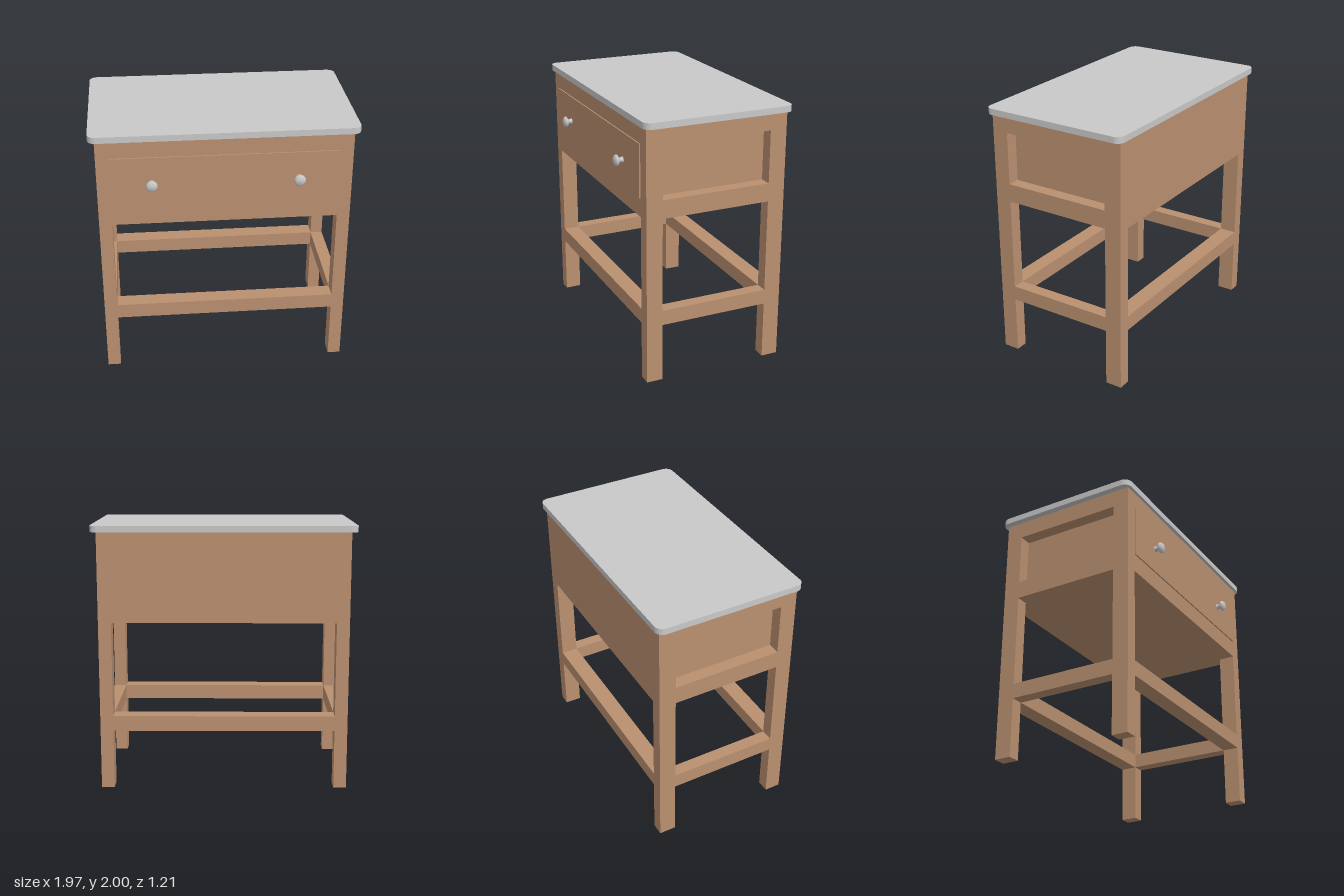
import * as THREE from 'three';

export function createModel() {
  const model = new THREE.Group();
  model.name = 'sideTable';
  const wood = new THREE.MeshStandardMaterial({ color: 0xba9070 });
  wood.name = 'wood';
  const stone = new THREE.MeshStandardMaterial({ color: 0xc9c9c9 });
  stone.name = 'light grey';

  // Box given by its extents on each axis
  function box(name, [x0, x1], [y0, y1], [z0, z1]) {
    const mesh = new THREE.Mesh(new THREE.BoxGeometry(x1 - x0, y1 - y0, z1 - z0), wood);
    mesh.position.set((x0 + x1) / 2, (y0 + y1) / 2, (z0 + z1) / 2);
    mesh.name = name;
    model.add(mesh);
  }

  const inner = 0.838, outer = 0.935;
  const frontZ = [0.4, 0.525], backZ = [-0.575, -0.445], sideZ = [-0.445, 0.4];
  const across = [-inner, inner], stretcherY = [0.45, 0.565];

  // Cabinet body between the legs, with the drawer front standing slightly proud
  box('cabinetBody', across, [1.28, 1.955], [-0.575, 0.525]);
  box('drawerFront', [-0.835, 0.835], [1.42, 1.82], [0.525, 0.535]);

  // Front and back stretchers
  box('frontStretcher', across, stretcherY, frontZ);
  box('backStretcher', across, stretcherY, backZ);

  // Legs, side rails framing the recessed panels, and side stretchers
  for (const [side, x] of [['left', [inner, outer]], ['right', [-outer, -inner]]]) {
    box(side + 'FrontLeg', x, [0, 1.955], frontZ);
    box(side + 'BackLeg', x, [0, 1.955], backZ);
    box(side + 'LowerRail', x, [1.28, 1.42], sideZ);
    box(side + 'UpperRail', x, [1.82, 1.955], sideZ);
    box(side + 'Stretcher', x, stretcherY, sideZ);
  }

  // Table top: rounded rectangle, extruded and laid flat
  const w = 0.983, back = 0.605, front = -0.55, r = 0.06;
  const outline = new THREE.Shape();
  outline.absarc(w - r, back - r, r, 0, Math.PI / 2);
  outline.absarc(-w + r, back - r, r, Math.PI / 2, Math.PI);
  outline.absarc(-w + r, front + r, r, Math.PI, Math.PI * 1.5);
  outline.absarc(w - r, front + r, r, Math.PI * 1.5, Math.PI * 2);
  const top = new THREE.Mesh(
    new THREE.ExtrudeGeometry(outline, { depth: 0.047, bevelEnabled: false, curveSegments: 8 }), stone);
  top.rotation.x = -Math.PI / 2;
  top.position.y = 1.953;
  top.name = 'tableTop';
  model.add(top);

  // Drawer knobs, turned around the z axis
  const profile = [[0.024, 0], [0.019, 0.008], [0.017, 0.026], [0.024, 0.03], [0.042, 0.043],
    [0.042, 0.053], [0.03, 0.066], [0, 0.07]].map(([x, y]) => new THREE.Vector2(x, y));
  const knobGeometry = new THREE.LatheGeometry(profile, 20);
  for (const [name, x] of [['leftKnob', 0.538], ['rightKnob', -0.538]]) {
    const knob = new THREE.Mesh(knobGeometry, stone);
    knob.rotation.x = Math.PI / 2;
    knob.position.set(x, 1.617, 0.535);
    knob.name = name;
    model.add(knob);
  }
  return model;
}
